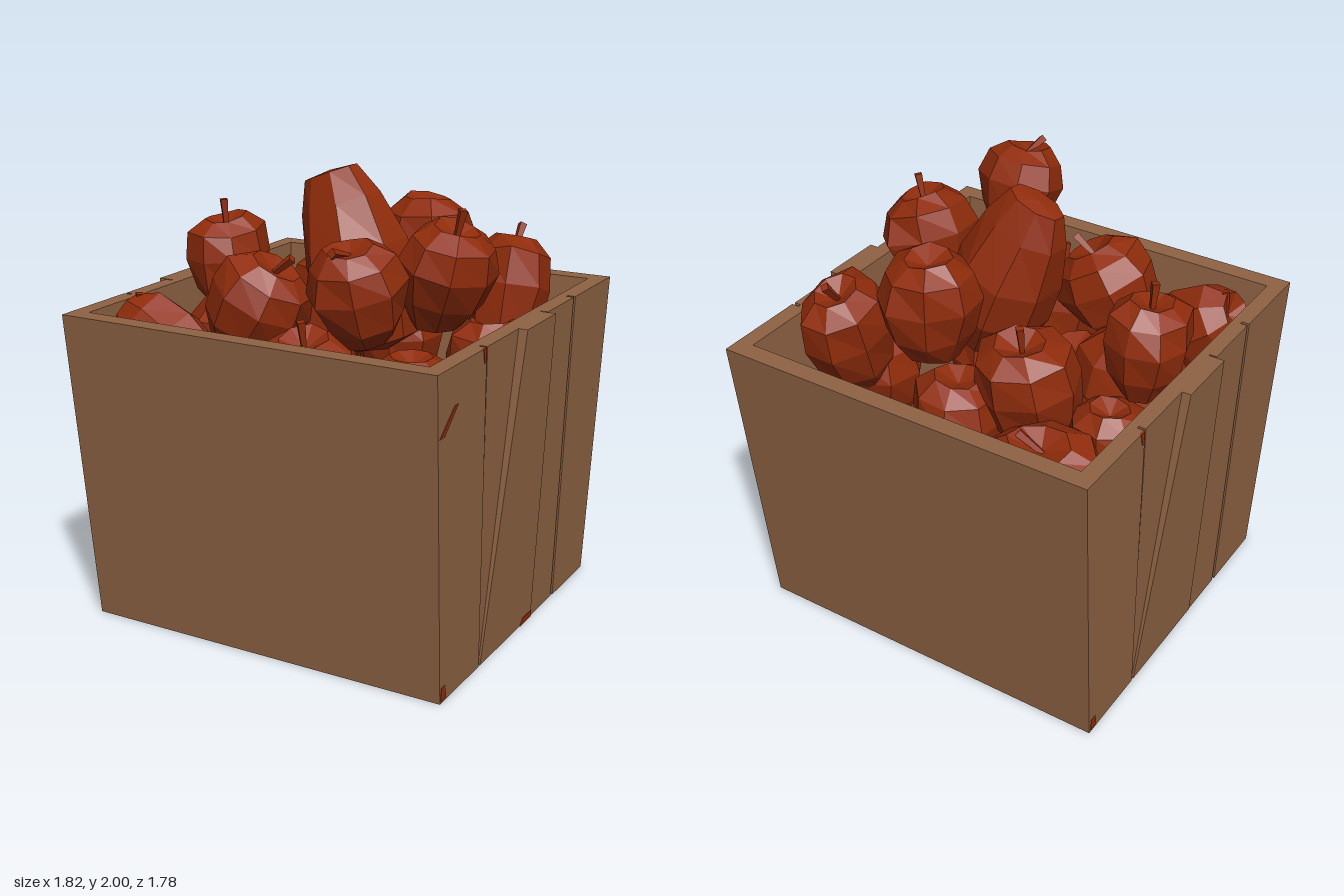
import * as THREE from 'three';

const wood = new THREE.MeshStandardMaterial({ color: 0x8f6343, flatShading: true });
wood.name = 'brown wood';
const red = new THREE.MeshStandardMaterial({ color: 0x902c0b, flatShading: true });
red.name = 'apple red';

// Block whose bottom and top rectangles [x0, x1, z0, z1] differ
function slab(parent, name, mat, y0, y1, bottom, top) {
  const geo = new THREE.BoxGeometry(1, 1, 1);
  const p = geo.attributes.position;
  for (let i = 0; i < p.count; i++) {
    const r = p.getY(i) > 0 ? top : bottom;
    p.setXYZ(i, p.getX(i) > 0 ? r[1] : r[0], p.getY(i) > 0 ? y1 : y0, p.getZ(i) > 0 ? r[3] : r[2]);
  }
  geo.computeVertexNormals();
  const mesh = new THREE.Mesh(geo, mat);
  mesh.name = name;
  parent.add(mesh);
}

// One boarded side of the crate, facing +x, with open slots between the boards
function crateSide(name) {
  const g = new THREE.Group();
  g.name = name;
  const H = 1.41;
  slab(g, 'sideBacking', wood, 0, H, [0.75, 0.82, -0.7, 0.7], [0.8, 0.84, -0.82, 0.82]);
  slab(g, 'frontBoard', wood, 0, H, [0.8, 0.85, 0.395, 0.7], [0.82, 0.875, 0.457, 0.83]);
  slab(g, 'wedgeBoard', wood, 0, H, [0.8, 0.842, 0.37, 0.385], [0.82, 0.872, 0.14, 0.445]);
  slab(g, 'slantedBoard', wood, 0, H, [0.8, 0.85, -0.152, 0.383], [0.82, 0.912, -0.152, 0.145]);
  slab(g, 'middleBoard', wood, 0, H, [0.8, 0.848, -0.392, -0.16], [0.82, 0.873, -0.45, -0.16]);
  slab(g, 'backBoard', wood, 0, H, [0.8, 0.85, -0.7, -0.408], [0.82, 0.875, -0.83, -0.465]);
  // Red stains
  slab(g, 'cornerStain', red, 0.01, 0.07, [0.845, 0.853, 0.71, 0.755], [0.845, 0.853, 0.72, 0.755]);
  slab(g, 'rimStain', red, 1.35, H, [0.867, 0.876, 0.46, 0.475], [0.868, 0.877, 0.46, 0.49]);
  return g;
}

// Faceted apple: turned profile with a small rule-based unevenness
const profile = [[0, -0.94], [0.5, -0.95], [0.84, -0.45], [1, 0.2], [0.87, 0.72], [0.48, 0.98], [0, 0.8]]
  .map(([r, y]) => new THREE.Vector2(r, y));

function apple(seed, rx, ry, rz) {
  const geo = new THREE.LatheGeometry(profile, 8, seed * 0.7);
  const p = geo.attributes.position;
  for (let k = 0; k < p.count; k++) {
    const a = p.getX(k), b = p.getY(k), c = p.getZ(k);
    const s = 1 + 0.07 * Math.sin(3 * a + 4 * b + seed * 2) * Math.cos(3 * c - 2 * b + seed);
    p.setXYZ(k, a * s * rx, b * s * ry, c * s * rz);
  }
  geo.computeVertexNormals();
  const body = new THREE.Mesh(geo, red);
  body.name = 'apple';
  return body;
}

export function createModel() {
  const model = new THREE.Group();
  model.name = 'appleCrate';

  // Crate: flared front and back walls, boarded sides, floor
  const crate = new THREE.Group();
  crate.name = 'crate';
  slab(crate, 'frontWall', wood, 0, 1.41, [-0.85, 0.85, 0.69, 0.76], [-0.875, 0.875, 0.8, 0.885]);
  slab(crate, 'backWall', wood, 0, 1.41, [-0.85, 0.85, -0.765, -0.69], [-0.875, 0.875, -0.895, -0.81]);
  slab(crate, 'floor', wood, 0, 0.08, [-0.78, 0.78, -0.7, 0.7], [-0.78, 0.78, -0.7, 0.7]);
  const left = crateSide('leftSide');
  slab(left, 'longStain', red, 1.15, 1.25, [0.865, 0.873, 0.81, 0.85], [0.867, 0.875, 0.7, 0.73]);
  slab(left, 'footStain', red, 0, 0.03, [0.845, 0.853, -0.15, -0.03], [0.846, 0.854, -0.15, -0.06]);
  const right = crateSide('rightSide');
  right.rotation.y = Math.PI;
  crate.add(left, right);
  model.add(crate);

  const pile = new THREE.Group();
  pile.name = 'apples';

  // Upper apples: x, y, z, radii, tilt about x and z, stem lean about x and z
  const upper = [
    [-0.64, 1.48, -0.02, 0.185, 0.22, 0.21, 0.05, 0.05, 0, 0],
    [-0.23, 1.26, -0.27, 0.24, 0.25, 0.23, -0.15, -0.1, 0, 0.1],
    [-0.23, 1.42, 0.4, 0.23, 0.21, 0.22, -0.1, -0.5, 0, -0.4],
    [0.53, 1.58, 0.11, 0.205, 0.22, 0.235, 0.05, -0.25, 0, 0],
    [0.43, 1.61, 0.68, 0.2, 0.21, 0.2, 0.3, 0.05, 1, 0.1],
    [0.55, 1.36, -0.47, 0.19, 0.29, 0.22, -0.3, 0, -0.4, 0],
    [-0.5, 1.05, -0.57, 0.28, 0.26, 0.22, -0.2, 0, 0, -1],
    [0.12, 1.14, 0.54, 0.23, 0.24, 0.23, 0.2, 0, 0, 0],
    [-0.52, 1.2, 0.57, 0.19, 0.3, 0.18, 0.05, 0.95, 0, -1.1],
  ];
  upper.forEach(([x, y, z, rx, ry, rz, tiltX, tiltZ, leanX, leanZ], i) => {
    const body = apple(i, rx, ry, rz);
    body.position.set(x, y, z);
    body.rotation.set(tiltX, 0, tiltZ);
    const stem = new THREE.Mesh(new THREE.CylinderGeometry(0.022, 0.013, 0.13, 4).translate(0, 0.055, 0), red);
    stem.name = 'stem';
    stem.position.y = ry * 0.8;
    stem.rotation.set(leanX, 0, leanZ);
    body.add(stem);
    pile.add(body);
  });

  // Stemless apples: x, y, z, radius
  const plain = [
    [0.2, 1.57, -0.37, 0.22], [-0.47, 1.1, 0.17, 0.26], [0.54, 1.12, 0.44, 0.19],
    [0.02, 1.1, -0.43, 0.21], [-0.58, 1.05, -0.2, 0.19], [0.56, 1.08, -0.28, 0.21],
    [0.3, 0.92, 0.28, 0.21], [-0.14, 0.95, 0.24, 0.21], [-0.3, 0.92, -0.08, 0.21],
  ];
  plain.forEach(([x, y, z, r], i) => {
    const body = apple(i + 3, r, r * 1.1, r);
    body.position.set(x, y, z);
    pile.add(body);
  });

  // Tall leaning apple on the summit, pinched to a ridge towards its top
  const tallProfile = [[0, -0.44], [0.16, -0.4], [0.24, -0.2], [0.235, 0], [0.19, 0.22], [0.13, 0.36], [0, 0.37]]
    .map(([r, y]) => new THREE.Vector2(r, y));
  const tallGeo = new THREE.LatheGeometry(tallProfile, 8, 0.3);
  const p = tallGeo.attributes.position;
  for (let k = 0; k < p.count; k++) p.setZ(k, p.getZ(k) * (1 - 1.2 * Math.max(0, p.getY(k))));
  tallGeo.computeVertexNormals();
  const tall = new THREE.Mesh(tallGeo, red);
  tall.name = 'tallApple';
  tall.position.set(0.06, 1.615, 0.04);
  tall.rotation.z = 0.36;
  pile.add(tall);
  model.add(pile);
  return model;
}
